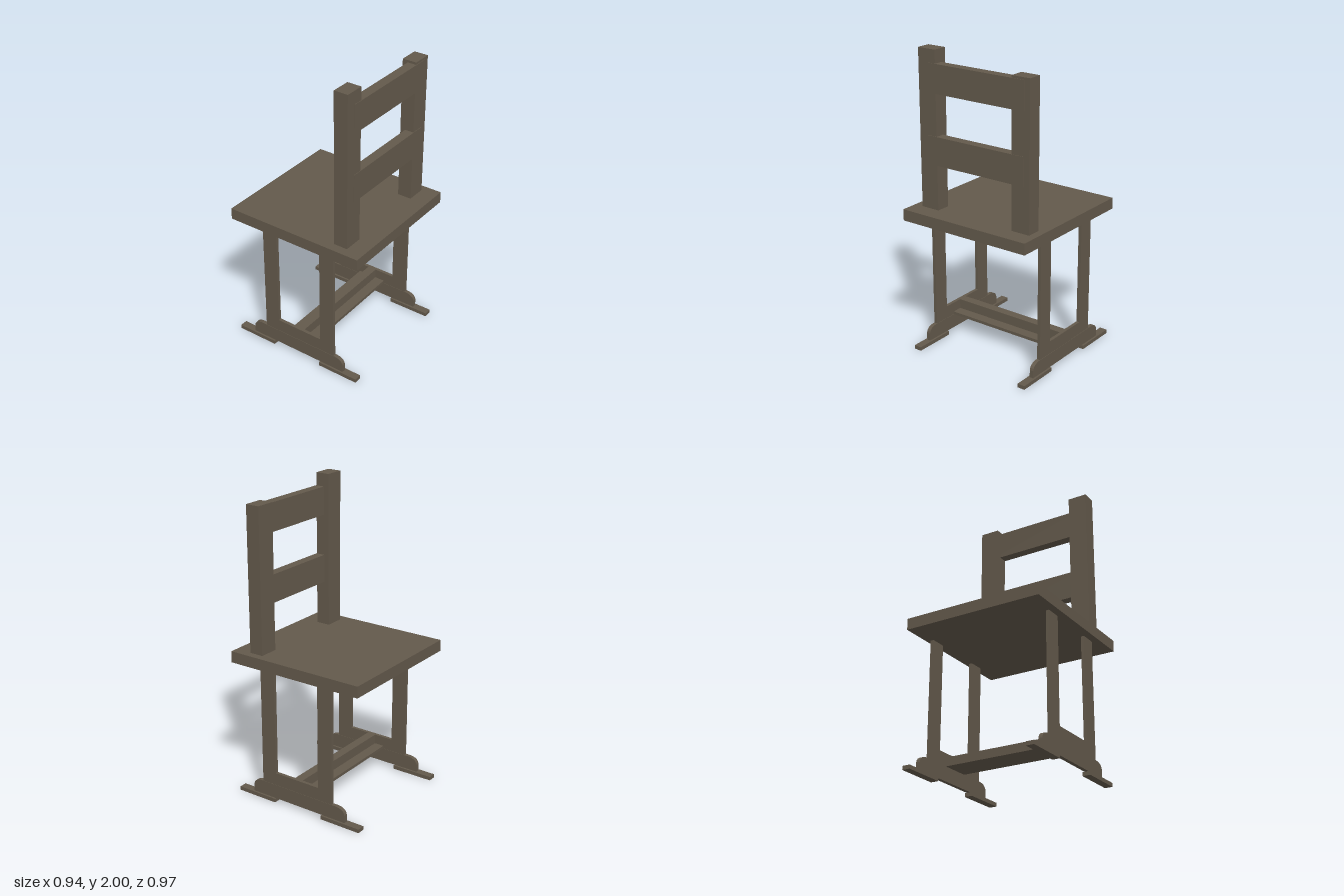
import * as THREE from 'three';

const wood = new THREE.MeshStandardMaterial({ color: 0x63594b, flatShading: true });

// Box given by its limits along each axis
function board(parent, name, [x0, x1], [y0, y1], [z0, z1]) {
  const mesh = new THREE.Mesh(new THREE.BoxGeometry(x1 - x0, y1 - y0, z1 - z0), wood);
  mesh.position.set((x0 + x1) / 2, (y0 + y1) / 2, (z0 + z1) / 2);
  mesh.name = name;
  parent.add(mesh);
}

// Side frame: two legs, a rounded runner, a panel between the legs and two floor pads
function sideFrame(name, x) {
  const frame = new THREE.Group();
  frame.name = name;
  const thin = [-0.011, 0.011];
  board(frame, 'frontLeg', thin, [0.12, 0.905], [0.17, 0.275]);
  board(frame, 'backLeg', thin, [0.12, 0.905], [-0.27, -0.165]);
  board(frame, 'sidePanel', thin, [0.12, 0.205], [-0.165, 0.17]);

  // Runner profile: shape x runs along the model's z
  const s = new THREE.Shape();
  s.moveTo(-0.37, 0.025);
  s.lineTo(0.35, 0.025);
  s.lineTo(0.35, 0.075);
  s.quadraticCurveTo(0.345, 0.115, 0.29, 0.12);
  s.lineTo(-0.31, 0.12);
  s.quadraticCurveTo(-0.365, 0.115, -0.37, 0.075);
  s.closePath();
  const geo = new THREE.ExtrudeGeometry(s, { depth: 0.026, bevelEnabled: false, curveSegments: 5 });
  geo.translate(0, 0, -0.013).rotateY(-Math.PI / 2);
  const runner = new THREE.Mesh(geo, wood);
  runner.name = 'runner';
  frame.add(runner);

  board(frame, 'frontPad', [-0.026, 0.026], [0, 0.025], [0.17, 0.46]);
  board(frame, 'backPad', [-0.026, 0.026], [0, 0.025], [-0.485, -0.195]);
  frame.position.x = x;
  return frame;
}

export function createModel() {
  const chair = new THREE.Group();
  chair.name = 'chair';

  board(chair, 'seat', [-0.47, 0.47], [0.905, 0.98], [-0.48, 0.485]);

  // Backrest with posts of uneven height
  board(chair, 'rightPost', [-0.41, -0.28], [0.98, 2], [0.275, 0.37]);
  board(chair, 'leftPost', [0.29, 0.42], [0.98, 1.93], [0.275, 0.37]);
  for (const y of [1.275, 1.73])
    board(chair, 'backSlat', [-0.345, 0.38], [y, y + 0.185], [0.31, 0.373]);

  // Base with an inverted T stretcher
  chair.add(sideFrame('rightFrame', -0.409), sideFrame('leftFrame', 0.43));
  board(chair, 'stretcherPlank', [-0.4, 0.42], [0.12, 0.14], [-0.1, 0.1]);
  board(chair, 'stretcherRib', [-0.4, 0.42], [0.14, 0.205], [-0.03, 0.03]);
  return chair;
}
